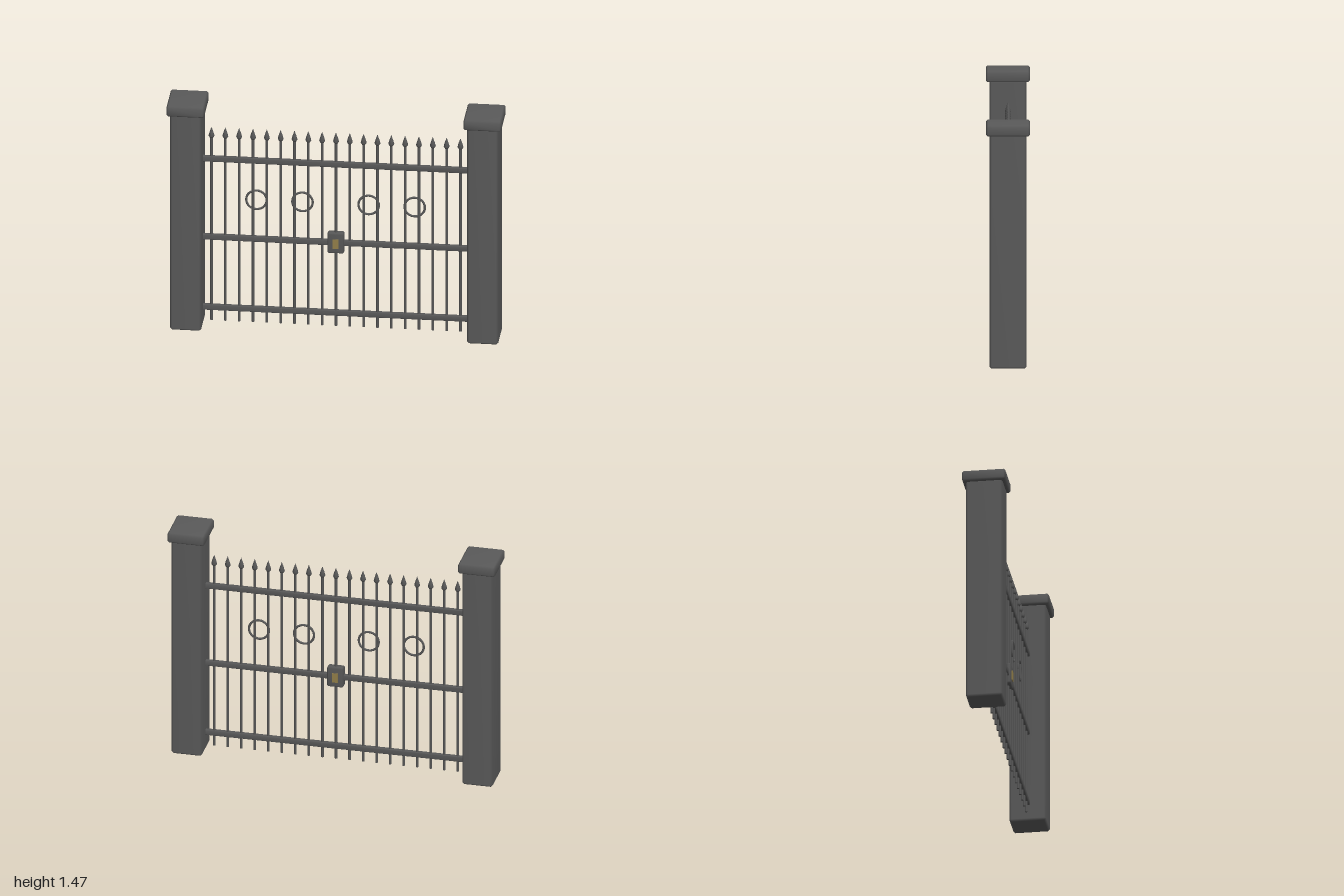
import * as THREE from 'three';
import { mergeVertices } from 'three/addons/utils/BufferGeometryUtils.js';
import { ConvexGeometry } from 'three/addons/geometries/ConvexGeometry.js';

const material = (name, color) => {
  const m = new THREE.MeshStandardMaterial({ color });
  m.name = name;
  return m;
};

// Box with one chamfer on each edge and softly blended normals
function softBox(w, h, d, c) {
  const points = [];
  for (const x of [-1, 1]) for (const y of [-1, 1]) for (const z of [-1, 1]) {
    for (let axis = 0; axis < 3; axis++) {
      const inset = [c, c, c];
      inset[axis] = 0;
      points.push(new THREE.Vector3(
        x * (w / 2 - inset[0]), y * (h / 2 - inset[1]), z * (d / 2 - inset[2])));
    }
  }
  const hull = new ConvexGeometry(points);
  hull.deleteAttribute('normal');
  const geometry = mergeVertices(hull);
  geometry.computeVertexNormals();
  return geometry;
}

export function createModel() {
  const stone = material('pillar grey', 0x5a5a5a);
  const iron = material('iron grey', 0x585858);
  const brass = material('brass', 0x94804a);
  const model = new THREE.Group();
  model.name = 'gate';

  const add = (name, geometry, mat, x, y, z = 0) => {
    const mesh = new THREE.Mesh(geometry, mat);
    mesh.name = name;
    mesh.position.set(x, y, z);
    model.add(mesh);
    return mesh;
  };

  // Pillars with overhanging caps
  const pillar = softBox(0.186, 1.412, 0.22, 0.012);
  const cap = softBox(0.226, 0.064, 0.26, 0.01);
  for (const [side, s] of [['left', 1], ['right', -1]]) {
    add(side + 'Pillar', pillar, stone, s * 0.887, 0.706);
    add(side + 'PillarCap', cap, stone, s * 0.887, 1.438);
  }

  // Horizontal rails
  const rail = softBox(1.6, 0.034, 0.028, 0.004);
  for (const [name, y] of [['bottomRail', 0.115], ['middleRail', 0.575], ['topRail', 1.087]]) {
    add(name, rail, iron, 0, y);
  }

  // Upright bars with spear tips
  const bar = new THREE.CylinderGeometry(0.008, 0.008, 1.205, 8);
  const tip = new THREE.LatheGeometry([
    [0, 0], [0.011, 0], [0.018, 0.012], [0.012, 0.035], [0, 0.07],
  ].map(([r, y]) => new THREE.Vector2(r, y)), 8);
  for (let i = -9; i <= 9; i++) {
    add('bar', bar, iron, i * 0.0826, 0.6325);
    add('spearTip', tip, iron, i * 0.0826, 1.225);
  }

  // Ornamental rings
  const ring = new THREE.TorusGeometry(0.061, 0.007, 8, 28);
  for (const x of [-0.475, -0.2, 0.195, 0.47]) add('ring', ring, iron, x, 0.83);

  // Lock box with a brass plate on both faces
  add('lockBox', softBox(0.1, 0.13, 0.05, 0.008), iron, 0, 0.577);
  const plate = new THREE.BoxGeometry(0.034, 0.06, 0.006);
  add('frontLockPlate', plate, brass, 0, 0.575, 0.026);
  add('backLockPlate', plate, brass, 0, 0.575, -0.026);

  return model;
}
